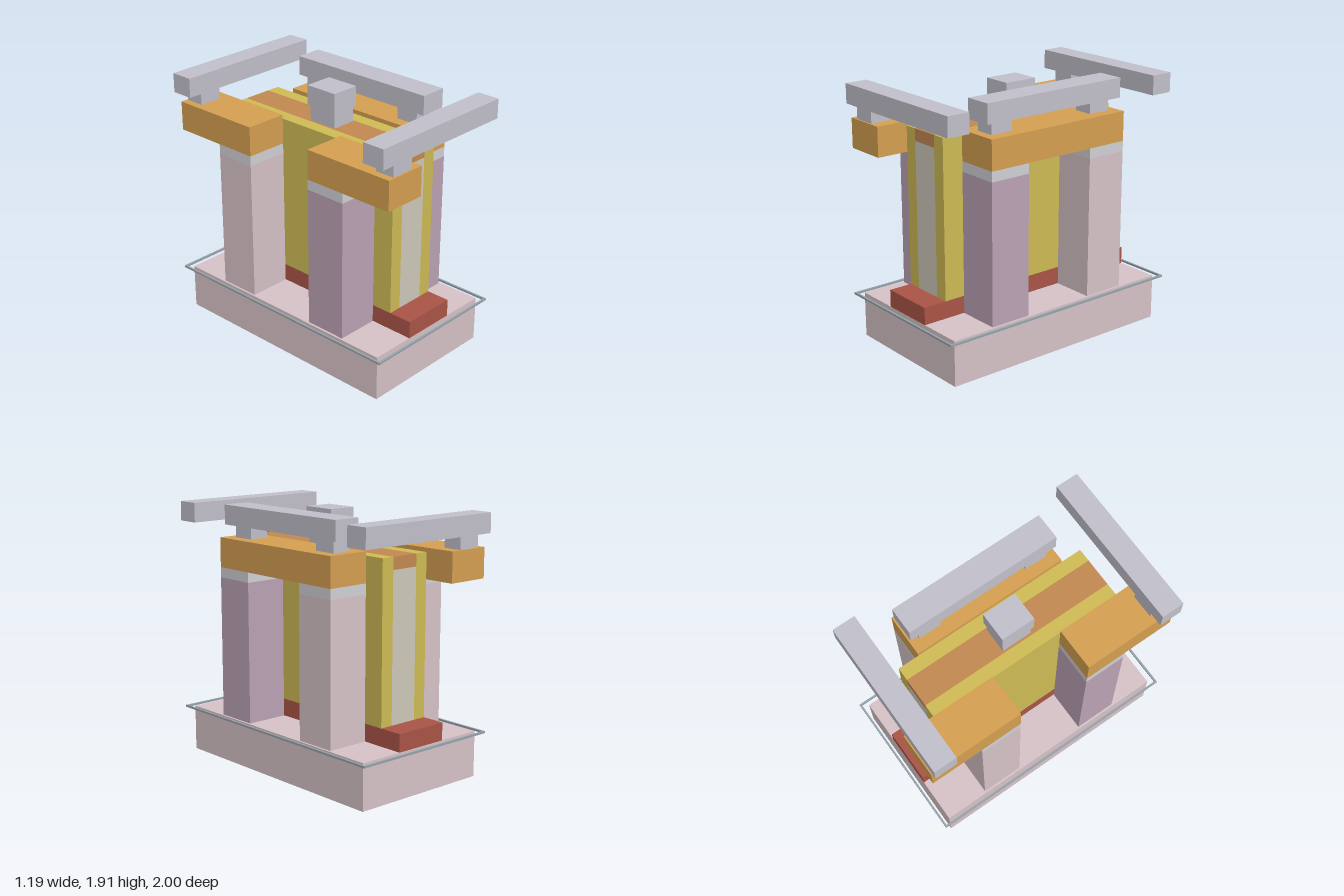
import * as THREE from 'three';

const COLORS = {
  base: 0xd8c4c8, mauve: 0xbca4b6, cap: 0xd3d2d7, orange: 0xd6a052, yellow: 0xd0bc56,
  brown: 0xc48a52, beige: 0xd0cabb, grey: 0xc3c1cb, red: 0xab5547, rim: 0x98a4ad,
};

export function createModel() {
  const model = new THREE.Group();
  const materials = {};
  for (const key in COLORS) {
    materials[key] = new THREE.MeshStandardMaterial({ color: COLORS[key], flatShading: true });
  }

  // Axis-aligned block given by its extents on each axis
  function block(name, color, [x0, x1], [y0, y1], [z0, z1]) {
    const mesh = new THREE.Mesh(new THREE.BoxGeometry(x1 - x0, y1 - y0, z1 - z0), materials[color]);
    mesh.position.set((x0 + x1) / 2, (y0 + y1) / 2, (z0 + z1) / 2);
    mesh.name = name;
    model.add(mesh);
  }
  // Extents on one axis, mirrored when side is -1
  const span = (side, a, b) => (side > 0 ? [a, b] : [-b, -a]);

  // Plinth and the thin open rim around its top
  block('base', 'base', [-0.55, 0.55], [0, 0.34], [-0.94, 0.94]);
  const rect = (Path, w, d) => new Path([[-w, -d], [w, -d], [w, d], [-w, d]].map(p => new THREE.Vector2(...p)));
  const rimShape = rect(THREE.Shape, 0.595, 1);
  rimShape.holes.push(rect(THREE.Path, 0.58, 0.985));
  const rimGeometry = new THREE.ExtrudeGeometry(rimShape, { depth: 0.015, bevelEnabled: false });
  rimGeometry.rotateX(-Math.PI / 2);
  const rim = new THREE.Mesh(rimGeometry, materials.rim);
  rim.position.y = 0.328;
  rim.name = 'rim';
  model.add(rim);

  // Central wall: red footing, beige core with brown top, yellow cheeks
  block('footing', 'red', [-0.21, 0.21], [0.34, 0.47], [-0.94, 0.94]);
  block('wallCore', 'beige', [-0.11, 0.11], [0.47, 1.56], [-0.76, 0.76]);
  block('wallCoreTop', 'brown', [-0.11, 0.11], [1.56, 1.65], [-0.76, 0.76]);
  for (const side of [1, -1]) {
    block('wallCheek', 'yellow', span(side, 0.11, 0.21), [0.47, 1.65], [-0.76, 0.76]);
  }

  // Four capped columns, mauve in front and pink behind
  for (const sx of [1, -1]) {
    for (const sz of [1, -1]) {
      const x = span(sx, 0.212, 0.535), z = span(sz, 0.28, 0.6);
      block('column', sz > 0 ? 'mauve' : 'base', x, [0.34, 1.385], z);
      block('columnCap', 'cap', x, [1.385, 1.46], z);
    }
  }

  // Left side: one lintel across both columns, carrying a long bar on two spacers
  block('leftLintel', 'orange', [0.212, 0.535], [1.46, 1.68], [-0.6, 0.6]);
  block('leftBar', 'grey', [0.285, 0.49], [1.77, 1.915], [-0.6, 0.6]);

  for (const sz of [1, -1]) {
    block('leftSpacer', 'grey', [0.298, 0.445], [1.68, 1.77], span(sz, 0.355, 0.53));
    // Right side: separate brackets reaching outward, carrying the cross bars
    block('rightBracket', 'orange', [-0.535, -0.212], [1.46, 1.68], span(sz, 0.28, 1));
    block('rightSpacer', 'grey', [-0.48, -0.302], [1.68, 1.77], span(sz, 0.842, 0.988));
    block('crossBar', 'grey', [-0.595, 0.595], [1.77, 1.915], span(sz, 0.828, 1));
  }

  // Block on a spacer in the middle of the wall
  block('centreSpacer', 'grey', [-0.095, 0.095], [1.65, 1.77], [-0.115, 0.115]);
  block('centreBlock', 'grey', [-0.11, 0.11], [1.77, 1.915], [-0.13, 0.13]);

  return model;
}
